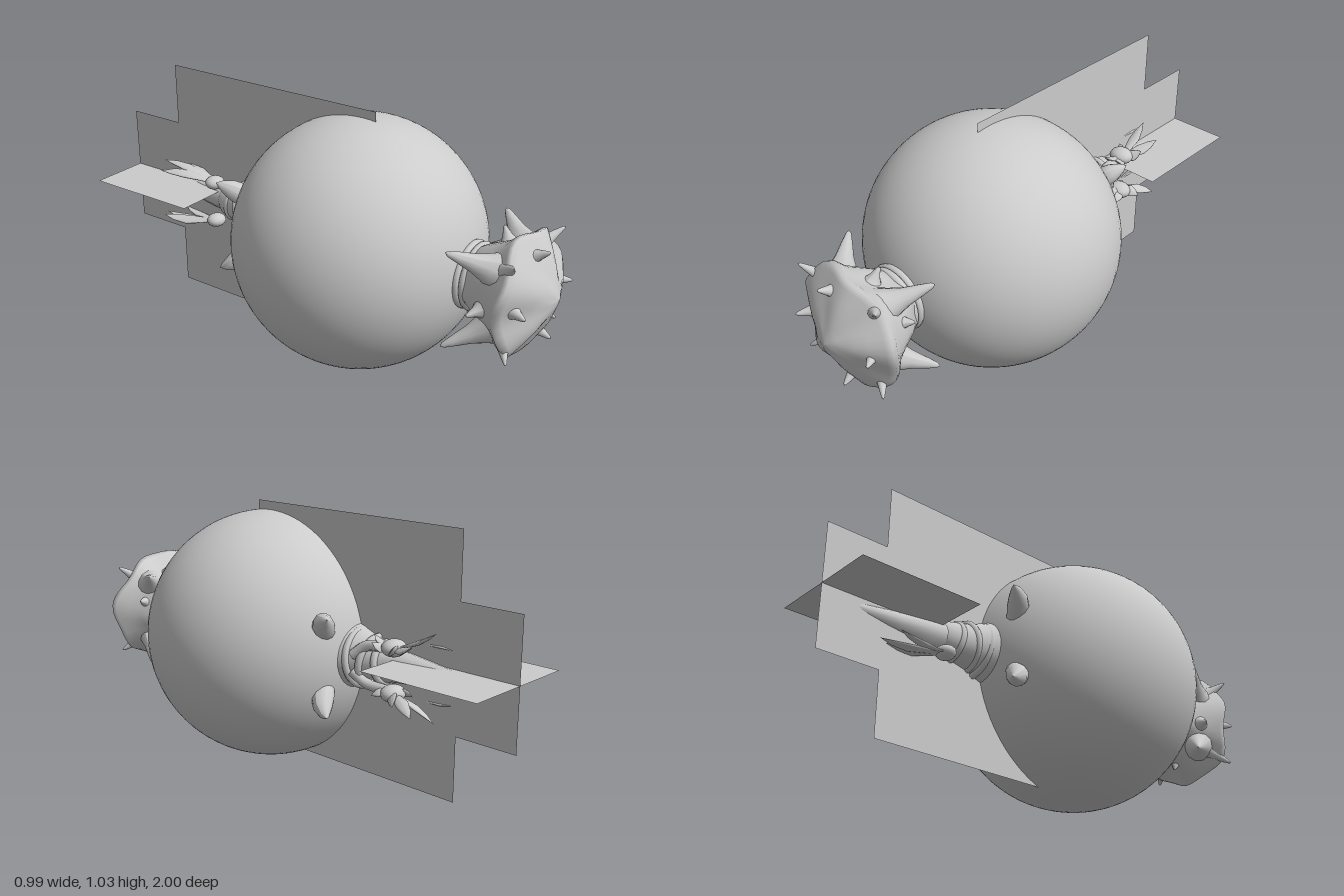
import * as THREE from 'three';

const grey = new THREE.MeshStandardMaterial({ color: 0xcccccc });
const thin = new THREE.MeshStandardMaterial({ color: 0xcccccc, side: THREE.DoubleSide });
const V = (x, y, z) => new THREE.Vector3(x, y, z);

function add(parent, name, geometry, material = grey) {
  const mesh = new THREE.Mesh(geometry, material);
  mesh.name = name;
  parent.add(mesh);
  return mesh;
}

// Turned solid around the z axis from [z, radius] pairs, z rising
function turned(profile, segments = 32) {
  const points = profile.map(([z, r]) => new THREE.Vector2(r, z));
  return new THREE.LatheGeometry(points, segments).rotateX(Math.PI / 2);
}

// Pointed, slightly curved horn from base to tip; flat < 1 thins it into a leaf
function horn(parent, name, base, tip, shape, width, bend = V(0, 0, 0), flat = 1, roll = 0) {
  const axis = tip.clone().sub(base);
  const length = axis.length();
  const points = shape.map(([t, r]) => new THREE.Vector2(r * width, t * length));
  const g = new THREE.LatheGeometry(points, 12);
  g.scale(1, 1, flat).rotateY(roll);
  g.applyQuaternion(new THREE.Quaternion().setFromUnitVectors(V(0, 1, 0), axis.clone().normalize()));
  const p = g.attributes.position;
  for (let i = 0; i < p.count; i++) {
    const v = V(0, 0, 0).fromBufferAttribute(p, i);
    const t = v.dot(axis) / (length * length);
    v.addScaledVector(bend, 4 * t * (1 - t)).add(base);
    p.setXYZ(i, v.x, v.y, v.z);
  }
  g.computeVertexNormals();
  return add(parent, name, g);
}

const SPIKE = [[0, 1], [0.2, 0.72], [0.45, 0.46], [0.75, 0.27], [0.94, 0.14], [1, 0]];
const CLAW = [[0, 0.9], [0.25, 1], [0.5, 0.85], [0.8, 0.45], [1, 0]];
const LEAF = [[0, 0.3], [0.25, 0.65], [0.55, 1], [0.8, 0.65], [1, 0]];

function spikedHead() {
  const head = new THREE.Group();
  head.name = 'spikedHead';

  // Irregular bulb with a ragged rim
  const g = turned([[0.67, 0.1], [0.69, 0.125], [0.73, 0.15], [0.78, 0.175], [0.83, 0.2], [0.865, 0.232],
    [0.885, 0.238], [0.9, 0.215], [0.93, 0.165], [0.955, 0.12], [0.98, 0.065], [0.993, 0.03], [1, 0]], 48);
  const p = g.attributes.position;
  for (let i = 0; i < p.count; i++) {
    const x = p.getX(i), y = p.getY(i), z = p.getZ(i);
    const a = Math.atan2(y, x), r = Math.hypot(x, y);
    const k = 1 + 0.035 * Math.sin(3 * a + 9 * z) + 0.025 * Math.sin(7 * a - 14 * z);
    p.setXYZ(i, x * k, y * k, z + r * 0.06 * Math.sin(5 * a + 1) * (z < 0.98 ? 1 : 0));
  }
  g.computeVertexNormals();
  add(head, 'bulb', g).position.set(0.01, 0.497, 0);

  // Four large spikes sweeping back, four small ones on the face
  for (const sx of [-1, 1]) for (const sy of [-1, 1]) {
    horn(head, 'backSpike', V(sx * 0.105, 0.5 + sy * 0.105, 0.82), V(sx * 0.225, 0.5 + sy * 0.185, 0.675),
      SPIKE, 0.075);
  }
  for (const [x, y] of [[-0.16, 0], [-0.025, 0.165], [0.17, -0.01], [0.045, -0.16]]) {
    horn(head, 'faceSpike', V(x * 0.9, 0.5 + y * 0.9, 0.89), V(x * 1.16, 0.5 + y * 1.16, 0.97), SPIKE, 0.042);
  }
  // Spikes around the rim
  for (let i = 0; i < 4; i++) {
    const a = Math.PI * (0.25 + i / 2), c = Math.cos(a), s = Math.sin(a);
    horn(head, 'rimSpike', V(c * 0.18, 0.5 + s * 0.18, 0.86), V(c * 0.285, 0.5 + s * 0.265, 0.92), SPIKE, 0.04);
  }
  // Small thorns on the flanks
  for (const [x, y] of [[1, 0.3], [-1, -0.2], [0.2, 1], [-0.1, -1]]) {
    horn(head, 'flankThorn', V(x * 0.15, 0.5 + y * 0.15, 0.79), V(x * 0.21, 0.5 + y * 0.21, 0.76), SPIKE, 0.04);
  }
  return head;
}

function tail() {
  const group = new THREE.Group();
  group.name = 'tail';

  // Flared socket, wrapped rings and the long point
  add(group, 'socket', turned([[-0.5, 0.055], [-0.48, 0.07], [-0.44, 0.078], [-0.38, 0.092], [-0.33, 0.112],
    [-0.28, 0.13]])).position.set(0.005, 0.5, 0);
  for (const [z, r, tilt] of [[-0.33, 0.105, 0.12], [-0.38, 0.09, -0.15], [-0.44, 0.075, 0.12]]) {
    const ring = add(group, 'wrapRing', new THREE.TorusGeometry(r, 0.014, 8, 32));
    ring.position.set(0.01, 0.5, z);
    ring.rotation.x = tilt;
  }
  horn(group, 'tailPoint', V(0.015, 0.5, -0.42), V(0.02, 0.503, -0.935),
    [[0, 1], [0.25, 0.85], [0.5, 0.6], [0.75, 0.38], [0.95, 0.16], [1, 0]], 0.068);

  // Claws seated on the ball around the socket
  for (const sx of [-1, 1]) for (const sy of [-1, 1]) {
    horn(group, 'claw', V(sx * 0.15, 0.5 + sy * 0.115, -0.26), V(sx * 0.23, 0.5 + sy * 0.185, -0.345),
      CLAW, 0.042, V(sx * 0.01, sy * 0.012, 0.005));
  }

  // Leaf sprays above and below: broad on the right, curled rosettes on the left
  for (const sy of [-1, 1]) {
    const y = (d) => 0.5 + sy * d;
    const bud = (x, z, r) => {
      const m = add(group, 'bud', new THREE.SphereGeometry(r, 14, 10));
      m.position.set(x, y(0.085), z);
      m.scale.set(1, 0.65, 0.9);
    };
    bud(-0.055, -0.51, 0.042);
    for (const [x, z, h] of [[-0.12, -0.75, 0.1], [-0.055, -0.79, 0.12], [0.0, -0.73, 0.1]]) {
      horn(group, 'broadLeaf', V(-0.055, y(0.08), -0.5), V(x, y(h), z), LEAF, 0.028, V(0, sy * 0.015, 0), 0.3);
    }
    bud(0.07, -0.52, 0.05);
    for (const [x, z, h] of [[0.05, -0.69, 0.165], [0.145, -0.66, 0.13], [0.135, -0.57, 0.11],
      [0.02, -0.57, 0.1], [0.06, -0.42, 0.115], [0.11, -0.45, 0.1]]) {
      horn(group, 'curledLeaf', V(0.075, y(0.085), -0.52), V(x, y(h), z), LEAF, 0.024, V(0, -sy * 0.012, 0), 0.35);
    }
    // Stem knot joining the rosette to the socket
    const stem = new THREE.CatmullRomCurve3([V(0.1, y(0.03), -0.35), V(0.08, y(0.07), -0.4), V(0.07, y(0.08), -0.5)]);
    add(group, 'stem', new THREE.TubeGeometry(stem, 12, 0.02, 8));
  }
  return group;
}

export function createModel() {
  const model = new THREE.Group();
  model.name = 'spikedBallMace';

  // Main ball
  add(model, 'ball', new THREE.SphereGeometry(0.496, 64, 48)).position.set(0, 0.5, 0.177);

  // Collar between ball and head
  add(model, 'collar', turned([[0.6, 0.115], [0.72, 0.115]])).position.y = 0.5;
  for (const z of [0.662, 0.69]) {
    add(model, 'collarRing', new THREE.TorusGeometry(0.115, 0.016, 10, 40)).position.set(0.005, 0.5, z);
  }

  model.add(spikedHead(), tail());

  // Thin crossed sheets: two upright, one level
  const large = add(model, 'largeUprightSheet', new THREE.PlaneGeometry(0.99, 0.99), thin);
  large.position.set(0, 0.535, -0.255);
  large.rotation.y = Math.PI / 2;
  const small = add(model, 'smallUprightSheet', new THREE.PlaneGeometry(0.49, 0.49), thin);
  small.position.set(0, 0.535, -0.755);
  small.rotation.y = Math.PI / 2;
  const level = add(model, 'levelSheet', new THREE.PlaneGeometry(0.49, 0.49), thin);
  level.position.set(0, 0.535, -0.755);
  level.rotation.x = -Math.PI / 2;
  return model;
}
